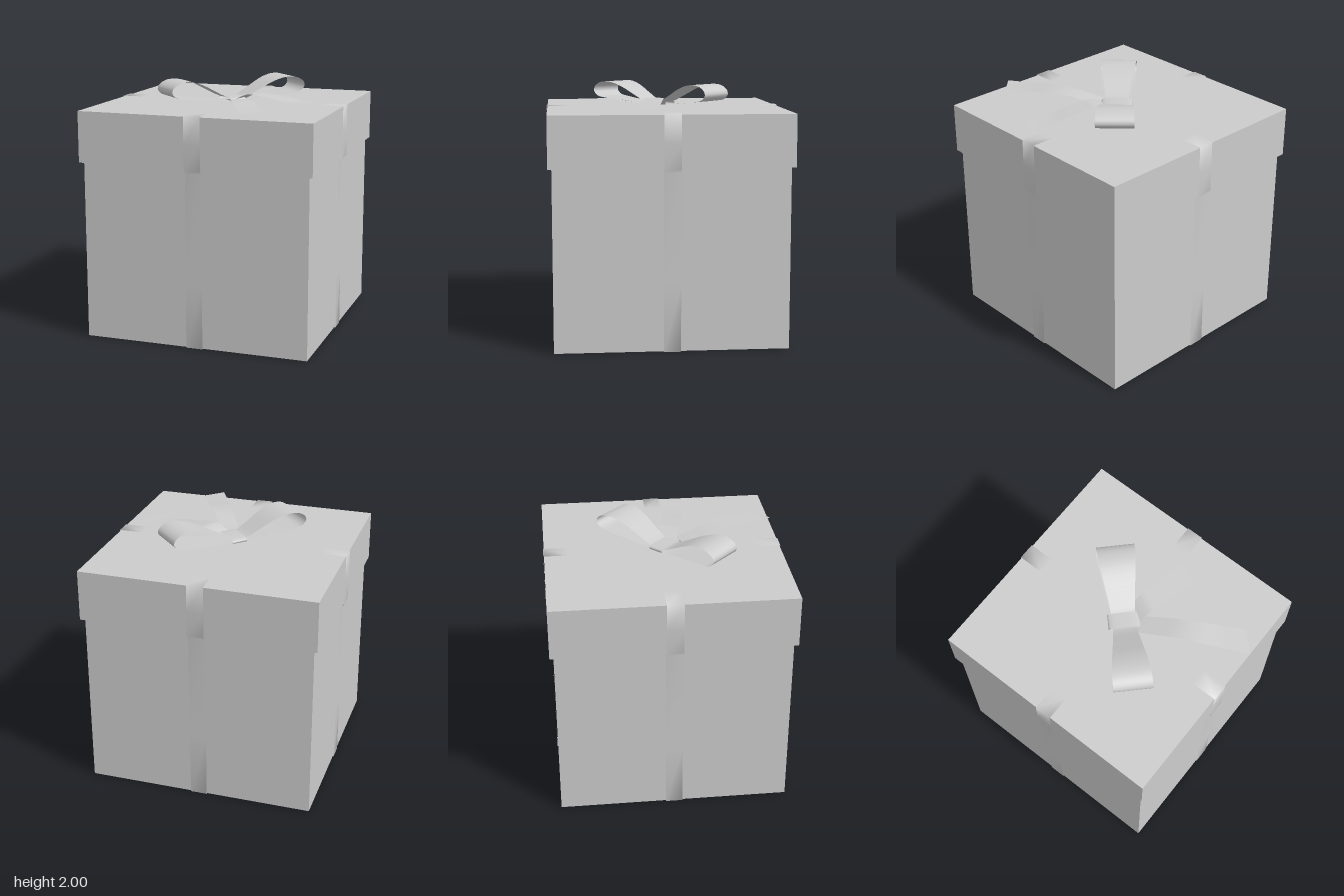
import * as THREE from 'three';

const material = new THREE.MeshStandardMaterial({ color: 0xcccccc, side: THREE.DoubleSide });

// Smooth strip through pairs of edge points [edgeA, edgeB]
function strip(name, pairs, closed = false) {
  const n = pairs.length;
  const index = [];
  for (let i = 0; i < (closed ? n : n - 1); i++) {
    const a = i * 2, b = ((i + 1) % n) * 2;
    index.push(a, a + 1, b + 1, a, b + 1, b);
  }
  const geometry = new THREE.BufferGeometry();
  geometry.setAttribute('position', new THREE.Float32BufferAttribute(pairs.flat(2), 3));
  geometry.setIndex(index);
  geometry.computeVertexNormals();
  const mesh = new THREE.Mesh(geometry, material);
  mesh.name = name;
  return mesh;
}

// Strip following an (x, y) profile, with half-width w(x) along z
const band = (name, profile, w, closed) =>
  strip(name, profile.map(([x, y]) => [[x, y, -w(x)], [x, y, w(x)]]), closed);

const smooth = (points, n) => new THREE.CatmullRomCurve3(
  points.map(([x, y]) => new THREE.Vector3(x, y, 0))).getPoints(n).map(p => [p.x, p.y]);

// Loose ribbon end: plan edges a and b run from root to tip, heights give the wave
function tail(name, a, b, heights) {
  const lerp = THREE.MathUtils.lerp;
  const pairs = smooth(heights, 24).map(([t, y]) => [b, a].map(
    ([x0, z0, x1, z1]) => [lerp(x0, x1, t), y, lerp(z0, z1, t)]));
  return strip(name, pairs);
}

function block(name, size, y0, y1) {
  const mesh = new THREE.Mesh(new THREE.BoxGeometry(size, y1 - y0, size), material);
  mesh.name = name;
  mesh.position.y = (y0 + y1) / 2;
  return mesh;
}

export function createModel() {
  const model = new THREE.Group();
  model.name = 'giftBox';
  model.add(block('box', 1.8, 0.005, 1.42), block('lid', 1.86, 1.41, 1.81));

  // Two ribbons wrapped around box and lid
  const half = [[0.74, 1.816], [0.935, 1.816], [0.935, 1.6], [0.935, 1.405],
    [0.906, 1.375], [0.906, 0.52], [0.906, 0], [0.74, 0]];
  const wrap = [...half, ...half.map(([x, y]) => [-x, y]).reverse()];
  ['sideRibbon', 'frontRibbon'].forEach((name, i) => {
    const ribbon = band(name, wrap, () => 0.066, true);
    ribbon.rotation.y = i * Math.PI / 2;
    if (i) ribbon.position.y = 0.001;
    model.add(ribbon);
  });

  // Bow set diagonally on the lid
  const bow = new THREE.Group();
  bow.name = 'bow';
  bow.position.set(0.004, 0, 0.025);
  bow.rotation.y = Math.PI / 4;
  model.add(bow);

  const loop = smooth([[0, 1.843], [0.07, 1.848], [0.18, 1.9], [0.32, 1.97], [0.43, 1.998],
    [0.52, 1.99], [0.575, 1.955], [0.585, 1.92], [0.55, 1.882], [0.46, 1.865],
    [0.3, 1.847], [0.12, 1.828], [0, 1.826]], 48);
  for (const side of [0, 1]) {
    const mesh = band(side ? 'rightBowLoop' : 'leftBowLoop', loop,
      x => 0.09 + 0.058 * THREE.MathUtils.smoothstep(x, 0, 0.55));
    mesh.rotation.y = side * Math.PI;
    bow.add(mesh);
  }

  // Flattened band around the waist of the bow
  const ring = [];
  for (let i = 0; i < 28; i++) {
    const t = -i / 28 * Math.PI * 2, c = Math.cos(t), s = Math.sin(t);
    ring.push([0.122 * Math.sign(c) * Math.abs(c) ** 0.7,
      1.835 + 0.021 * Math.sign(s) * Math.abs(s) ** 0.7]);
  }
  const knot = band('knot', ring, () => 0.062, true);
  knot.rotation.y = Math.PI / 2;
  bow.add(knot);

  // Loose ends
  model.add(
    tail('sideTail', [0.1, -0.02, 0.835, 0.115], [0.05, 0.12, 0.74, 0.29],
      [[0, 1.828], [0.1, 1.865], [0.2, 1.888], [0.32, 1.882], [0.52, 1.865], [0.72, 1.847], [1, 1.845]]),
    tail('frontTail', [0.12, 0.1, 0.51, 0.8], [-0.02, 0.13, 0.37, 0.935],
      [[0, 1.828], [0.18, 1.855], [0.38, 1.882], [0.55, 1.884], [0.75, 1.868], [1, 1.855]])
  );
  return model;
}
